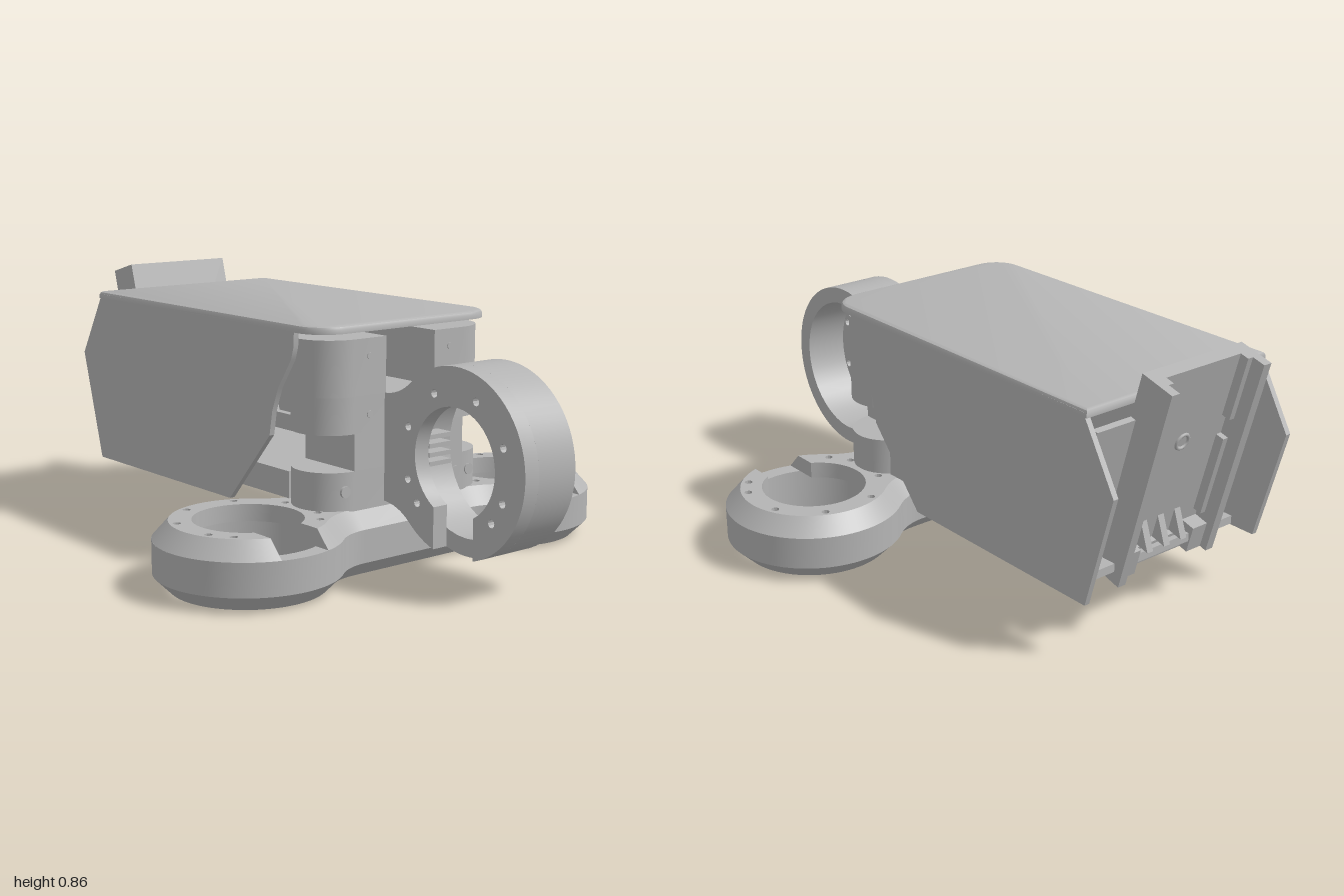
import * as THREE from 'three';
import { toCreasedNormals } from 'three/addons/utils/BufferGeometryUtils.js';

const grey = new THREE.MeshStandardMaterial({ color: 0xb4b4b4 });
grey.name = 'grey plastic';

const RAD = Math.PI / 180;
const P = (x, y) => new THREE.Vector2(x, y);

function arc(cx, cy, r, from, to, n = 12) {
  return Array.from({ length: n + 1 }, (_, i) => {
    const a = (from + (to - from) * i / n) * RAD;
    return P(cx + r * Math.cos(a), cy + r * Math.sin(a));
  });
}
const circle = (cx, cy, r, n = 40) => arc(cx, cy, r, 360, 0, n).slice(0, n);
const mirrored = (pts) => pts.map((p) => P(-p.x, p.y)).reverse();
const twin = (pts) => [...pts, ...mirrored(pts)];

// Solid between layers [height, inset] of one outline, with straight holes (wound clockwise)
function slab(layers, outline, holes = []) {
  const pos = [];
  const put = (p, h) => pos.push(p.x, p.y, h);
  for (let k = 0; k < layers.length - 1; k++) {
    const [h0, d0] = layers[k], [h1, d1] = layers[k + 1];
    const walls = [[outline(d0), outline(d1)], ...holes.map((h) => [h, h])];
    for (const [lo, hi] of walls) {
      for (let i = 0; i < lo.length; i++) {
        const j = (i + 1) % lo.length;
        put(lo[i], h0); put(lo[j], h0); put(hi[j], h1);
        put(lo[i], h0); put(hi[j], h1); put(hi[i], h1);
      }
    }
  }
  for (const [layer, top] of [[layers[0], false], [layers[layers.length - 1], true]]) {
    const o = outline(layer[1]);
    const all = [...o, ...holes.flat()];
    for (const [a, b, c] of THREE.ShapeUtils.triangulateShape(o, holes)) {
      for (const i of top ? [a, b, c] : [a, c, b]) put(all[i], layer[0]);
    }
  }
  const g = new THREE.BufferGeometry();
  g.setAttribute('position', new THREE.Float32BufferAttribute(pos, 3));
  return toCreasedNormals(g, 30 * RAD);
}
const flat = (g) => g.rotateX(-Math.PI / 2);     // outline in x and -z, height in y
const upright = (g) => g.rotateY(-Math.PI / 2);  // outline in z and y, height in -x

// Ring with a filleted arm toward -x; the notch opens the flange
function ringArm(d, notch) {
  const R = 0.29 - d, b = Math.asin(0.085 / R) / RAD;
  const ring = notch
    ? [...arc(0, 0, R, 228.3, 270 - b, 6), ...arc(0, 0, 0.17, 240, -60, 40), ...arc(0, 0, R, 270 + b, 491.7, 40)]
    : arc(0, 0, R, 228.3, 491.7, 52);
  return [
    ...arc(-0.315, -0.353, 0.183 + d, 90, 48.3, 8), ...ring,
    ...arc(-0.315, 0.353, 0.183 + d, -48.3, -90, 8)];
}
const boltHoles = (cx) => [22, 66, 114, 158, 202, 223, -22, -43].map((a) =>
  circle(cx + 0.217 * Math.cos(a * RAD), 0.217 * Math.sin(a * RAD), 0.013, 10));

export function createModel() {
  const model = new THREE.Group();
  const add = (name, geo, x = 0, y = 0, z = 0, parent = model) => {
    const m = new THREE.Mesh(geo, grey);
    m.name = name;
    m.position.set(x, y, z);
    parent.add(m);
    return m;
  };
  const box = (name, x0, x1, y0, y1, z0, z1, parent) => add(name,
    new THREE.BoxGeometry(x1 - x0, y1 - y0, z1 - z0), (x0 + x1) / 2, (y0 + y1) / 2, (z0 + z1) / 2, parent);

  // Base: two bored rings joined by an arm, flanges on top
  const C = 0.535;
  const base = (notch) => (d) => twin(ringArm(d, notch).map((p) => P(p.x + C, p.y)));
  const armHoles = [-0.135, 0.135].map((x) => circle(x, -0.03, 0.042, 24));
  add('baseBody', flat(slab([[0, 0.05], [0.05, 0], [0.155, 0]], base(false),
    [circle(C, 0, 0.235), circle(-C, 0, 0.235), ...armHoles])), 0, 0, 0.275);
  add('baseFlange', flat(slab([[0.155, 0], [0.21, 0.05]], base(true),
    [...boltHoles(C), ...boltHoles(-C)])), 0, 0, 0.275);

  // Upright front ring
  add('frontRingBody', upright(slab([[-0.1, 0], [0.05, 0]], () => ringArm(0, false), [circle(0, 0, 0.235)])), 0, 0.39, 0.71);
  add('frontRingFlange', upright(slab([[0.05, 0], [0.105, 0]], () => ringArm(0, true), boltHoles(0))), 0, 0.39, 0.71);
  for (let i = 0; i < 4; i++) {
    const y = 0.345 + i * 0.028;
    box('ringRidge', -0.05, 0.04, y, y + 0.014, 0.47, 0.545);
  }

  // Tower with rounded ends, side slots and a central notch at the top
  const end = arc(0.225, 0, 0.12, -90, 90, 20);
  const tower = (name, y0, y1, pts) => add(name, flat(slab([[y0, 0], [y1, 0]], () => pts)), 0, 0, 0.28);
  tower('towerFoot', 0.205, 0.33, twin(end));
  box('towerWaist', -0.225, 0.225, 0.33, 0.445, 0.16, 0.4);
  tower('towerMiddle', 0.445, 0.56, twin(end));
  const cheek = [P(0.1, -0.12), ...end, P(0.1, 0.12)];
  tower('towerCheekLeft', 0.56, 0.735, cheek);
  tower('towerCheekRight', 0.56, 0.735, mirrored(cheek));
  const screws = [[-0.165, 0.68, 0.011], [0.165, 0.68, 0.011], [-0.165, 0.5, 0.011], [0.165, 0.5, 0.011],
    [-0.26, 0.27, 0.018], [0.195, 0.27, 0.018], [0.255, 0.27, 0.018]];
  for (const [x, y, r] of screws) {
    add('towerScrew', new THREE.CylinderGeometry(r, r, 0.008, 16).rotateX(Math.PI / 2), x, y, 0.399);
  }

  // Cover: top plate with softened edge and two side panels
  const lid = (d) => [
    ...arc(-0.263, -0.3, 0.1 - d, 180, 270), ...arc(0.263, -0.3, 0.1 - d, 270, 360),
    P(0.363 - d, 0.84 - d), P(-0.363 + d, 0.84 - d)];
  add('coverTop', flat(slab([[0.755, 0], [0.768, 0], [0.776, 0.004], [0.78, 0.012]], lid)));
  const side = [[0.28, 0.76], [-0.825, 0.77], [-0.955, 0.55], [-0.85, 0.18], [-0.06, 0.18],
    [0.155, 0.42], [0.17, 0.5], [0.2, 0.575], [0.265, 0.67], [0.278, 0.71]].map(([z, y]) => P(z, y));
  for (const x of [-0.354, 0.354]) {
    add('coverSide', upright(slab([[-0.009, 0], [0.009, 0]], () => side)), x);
  }

  // Floor tray behind the tower
  box('floor', -0.3, 0.3, 0.213, 0.24, -0.8, 0.17);
  for (const s of [-1, 1]) box('floorRail', s * 0.285 - 0.015, s * 0.285 + 0.015, 0.24, 0.3, -0.7, 0.17);

  // Leaning rear bracket with its back wall
  const bracket = new THREE.Group();
  bracket.name = 'rearBracket';
  bracket.position.set(0, 0.2, -0.702);
  bracket.rotation.x = -0.27;
  model.add(bracket);
  box('backWall', -0.345, 0.345, 0.02, 0.54, -0.02, 0, bracket);
  box('bracketPlate', -0.2, 0.2, 0, 0.685, -0.045, 0, bracket);
  for (const s of [-1, 1]) {
    const bar = (name, a, b, ...rest) => box(name, Math.min(s * a, s * b), Math.max(s * a, s * b), ...rest, bracket);
    bar('bracketRail', 0.17, 0.2, 0, 0.685, -0.12, -0.045);
    bar('bracketStep', 0.15, 0.17, 0.12, 0.4, -0.075, -0.045);
    bar('bracketStep', 0.15, 0.17, 0.47, 0.685, -0.075, -0.045);
    bar('bracketFoot', 0.11, 0.17, 0, 0.09, -0.095, -0.045);
  }
  box('bracketSill', -0.11, 0.11, 0, 0.07, -0.065, -0.045, bracket);
  const tooth = [P(-0.045, 0.07), P(-0.045, 0.15), P(-0.1, 0.07)];
  for (const x of [-0.07, 0, 0.07]) {
    add('bracketTooth', upright(slab([[-0.012, 0], [0.012, 0]], () => [tooth[0], tooth[1], tooth[2]])), x, 0, 0, bracket);
  }
  add('bracketScrew', new THREE.TorusGeometry(0.024, 0.006, 8, 24), 0, 0.42, -0.045, bracket);

  return model;
}
